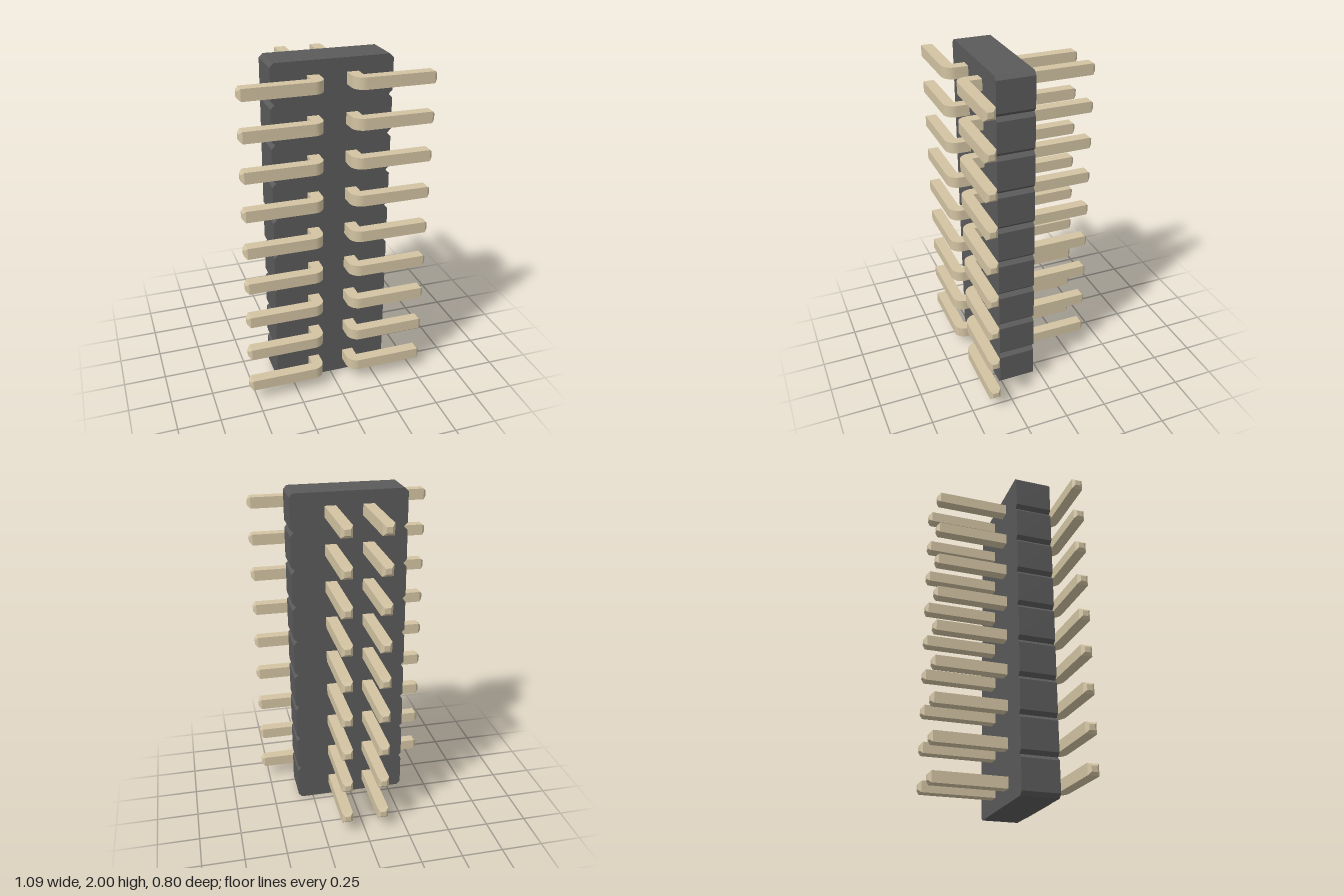
import * as THREE from 'three';
import { toCreasedNormals } from 'three/addons/utils/BufferGeometryUtils.js';

const ROWS = 9, PITCH = 2 / ROWS;
const HALF_W = 0.343, NOTCH = 0.022, BACK = 0.043, FRONT = 0.263;
const T = 0.066, TIP = 0.017;            // pin thickness, tip taper length
const IN = 0.078, FACE = 0.399;          // inner pin side, front pin face
const END_X = 0.544, END_Z = -0.403;     // pin ends

const plastic = new THREE.MeshStandardMaterial({ color: 0x5a5a5a });
const metal = new THREE.MeshStandardMaterial({ color: 0xd2c3a2 });

// Notched block outline: every row is chamfered at its top and bottom
function housingGeometry() {
  const right = [];
  for (let i = 0; i < ROWS; i++) {
    const y = i * PITCH;
    right.push([HALF_W - NOTCH, y], [HALF_W, y + NOTCH], [HALF_W, y + PITCH - NOTCH]);
  }
  right.push([HALF_W - NOTCH, 2]);
  const left = right.map(([x, y]) => [-x, y]).reverse();
  const shape = new THREE.Shape([...right, ...left].map(([x, y]) => new THREE.Vector2(x, y)));
  const g = new THREE.ExtrudeGeometry(shape, { depth: FRONT - BACK, bevelEnabled: false });
  return g.translate(0, 0, BACK);
}

// L-shaped pin bar in the xz plane, rounded on the outside of the bend
function barGeometry(side) {
  const s = new THREE.Shape();
  s.moveTo(side * IN, END_Z + TIP);
  s.lineTo(side * (IN + T), END_Z + TIP);
  s.lineTo(side * (IN + T), FACE - T);
  s.lineTo(side * (END_X - TIP), FACE - T);
  s.lineTo(side * (END_X - TIP), FACE);
  s.lineTo(side * (IN + T), FACE);
  for (let i = 1; i <= 10; i++) {
    const a = (i / 10) * Math.PI / 2;
    s.lineTo(side * (IN + T - T * Math.sin(a)), FACE - T + T * Math.cos(a));
  }
  s.closePath();
  const g = new THREE.ExtrudeGeometry(s, { depth: T, bevelEnabled: false });
  g.translate(0, 0, -T / 2).rotateX(Math.PI / 2);
  return toCreasedNormals(g, 0.6);
}

// Four-sided tapered tip pointing along +y
function tipGeometry() {
  const r = T / Math.SQRT2;
  const g = new THREE.CylinderGeometry(r * 0.5, r, TIP, 4).rotateY(Math.PI / 4);
  return toCreasedNormals(g, 0.3);
}

function mesh(name, geometry, material) {
  const m = new THREE.Mesh(geometry, material);
  m.name = name;
  return m;
}

export function createModel() {
  const model = new THREE.Group();
  model.name = 'pinHeader';
  model.add(mesh('housing', housingGeometry(), plastic));

  const tip = tipGeometry();
  for (const side of [1, -1]) {
    const bar = barGeometry(side);
    for (let i = 0; i < ROWS; i++) {
      const pin = new THREE.Group();
      pin.name = side > 0 ? 'leftPin' : 'rightPin';
      pin.position.y = (i + 0.5) * PITCH;

      const backTip = mesh('backTip', tip, metal);
      backTip.rotation.x = -Math.PI / 2;
      backTip.position.set(side * (IN + T / 2), 0, END_Z + TIP / 2);

      const sideTip = mesh('sideTip', tip, metal);
      sideTip.rotation.z = -side * Math.PI / 2;
      sideTip.position.set(side * (END_X - TIP / 2), 0, FACE - T / 2);

      pin.add(mesh('pinBar', bar, metal), backTip, sideTip);
      model.add(pin);
    }
  }
  return model;
}
